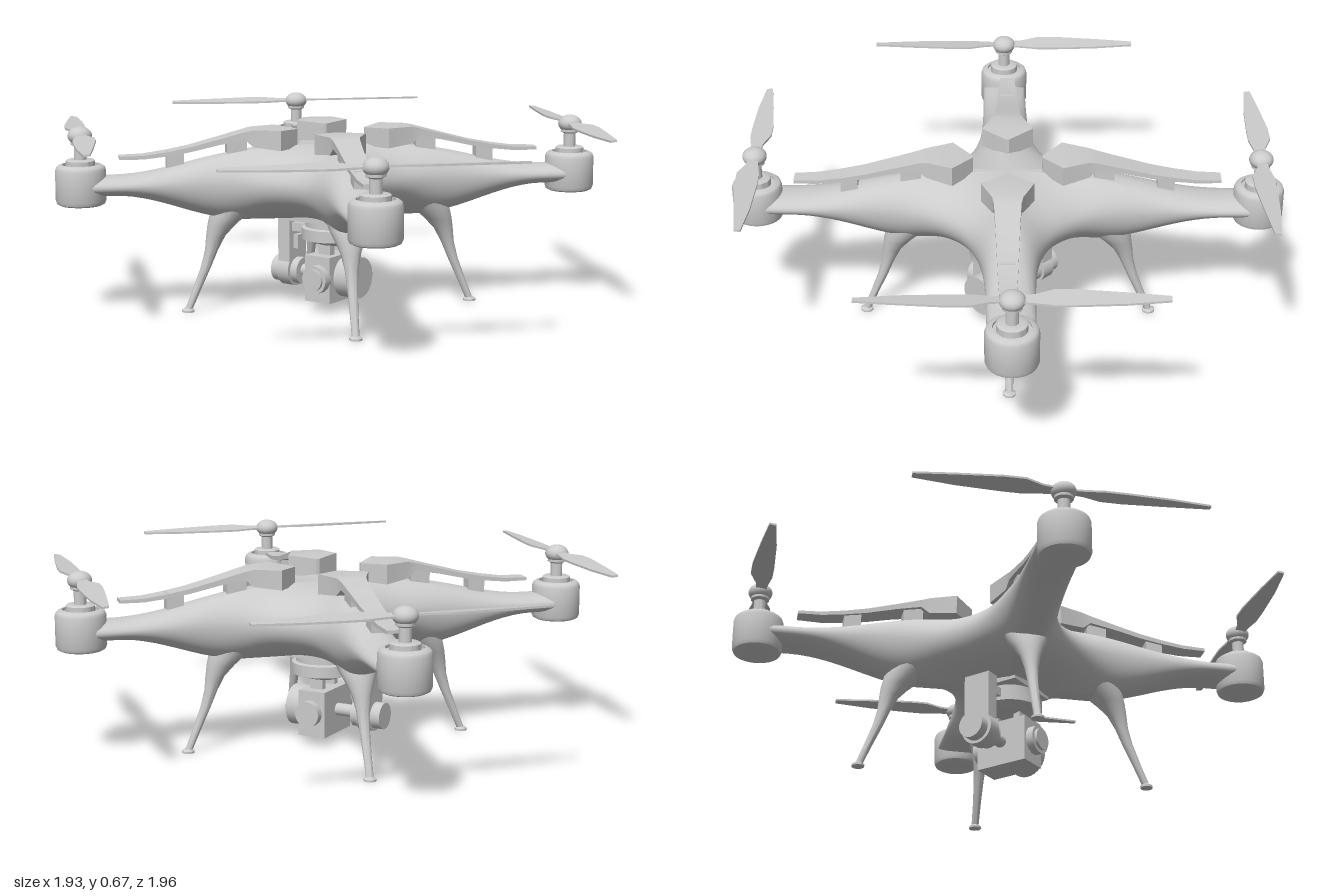
import * as THREE from 'three';
import { toCreasedNormals } from 'three/addons/utils/BufferGeometryUtils.js';

const { smoothstep, lerp } = THREE.MathUtils;
const material = new THREE.MeshStandardMaterial({ color: 0xcccccc, roughness: 0.6 });

function add(parent, name, geometry, x = 0, y = 0, z = 0) {
  const mesh = new THREE.Mesh(geometry, material);
  mesh.name = name;
  mesh.position.set(x, y, z);
  parent.add(mesh);
  return mesh;
}

// Skin a row of closed rings, each a list of [x, y, z]
function loft(rings, capped = true) {
  const n = rings[0].length, index = [], last = (rings.length - 1) * n;
  for (let i = 0; i < rings.length - 1; i++) {
    for (let j = 0; j < n; j++) {
      const k = (j + 1) % n, a = i * n + j, b = i * n + k;
      index.push(a, b, b + n, a, b + n, a + n);
    }
  }
  if (capped) {
    for (let j = 1; j < n - 1; j++) index.push(0, j + 1, j, last, last + j, last + j + 1);
  }
  const g = new THREE.BufferGeometry();
  g.setAttribute('position', new THREE.Float32BufferAttribute(rings.flat(2), 3));
  g.setIndex(index);
  g.computeVertexNormals();
  return g;
}

const lathe = (points, segments = 40) =>
  toCreasedNormals(new THREE.LatheGeometry(points.map(p => new THREE.Vector2(...p)), segments), 0.6);

const box = (w, h, d) => new THREE.BoxGeometry(w, h, d);

// Four-armed shell: star outline, rounded above and below
function shellGeometry() {
  const start = 0.19, end = 0.87;
  const halfWidth = s => 0.078 + 0.112 * Math.exp(-(Math.max(s, start) - start) / 0.112);
  const side = [];
  for (let i = 0; i <= 26; i++) {
    const s = lerp(start, end, i / 26);
    side.push([s, halfWidth(s)]);
  }
  const quarter = side.map(([s, w]) => [s, -w]);
  for (let i = 1; i < 10; i++) quarter.push([end, lerp(-1, 1, i / 10) * halfWidth(end)]);
  quarter.push(...side.slice(1).reverse());

  const rings = [], steps = 52;
  for (let j = 0; j <= steps; j++) {
    const phi = Math.PI * j / steps;
    const k = j === 0 || j === steps ? 0 : Math.sin(phi);
    const ring = [];
    for (let a = 0; a < 4; a++) {
      const c = Math.cos(Math.PI / 4 + a * Math.PI / 2), d = Math.sin(Math.PI / 4 + a * Math.PI / 2);
      for (const [s0, v0] of quarter) {
        const s = s0 * k, v = v0 * k, r = Math.hypot(s, v);
        const across = Math.min(1, Math.abs(v) / halfWidth(s));
        const q = lerp(k, across, smoothstep(s, 0.22, 0.5));
        const round = Math.sqrt(Math.max(0, 1 - Math.pow(q, 2.2)));
        const top = 0.585 - 0.09 * smoothstep(r, 0.2, 0.75);
        const bottom = 0.325 + 0.1 * smoothstep(r, 0.3, 0.75);
        const y = 0.46 + ((phi <= Math.PI / 2 ? top : bottom) - 0.46) * round;
        ring.push([s * c - v * d, y, (s * d + v * c) * 1.03]);
      }
    }
    rings.push(ring);
  }
  return loft(rings, false);
}

// Deck plate along an arm: distance, half width, top, bottom
function deckPlateGeometry() {
  const stations = [
    [0.12, 0.006, 0.64, 0.575], [0.19, 0.09, 0.645, 0.575], [0.28, 0.052, 0.645, 0.585],
    [0.31, 0.046, 0.638, 0.61], [0.4, 0.041, 0.614, 0.594], [0.5, 0.037, 0.588, 0.571],
    [0.58, 0.034, 0.573, 0.558], [0.66, 0.031, 0.562, 0.549], [0.742, 0.027, 0.56, 0.549],
  ];
  return toCreasedNormals(loft(stations.map(([s, w, t, b]) =>
    [[s, t, -w], [s, t, w], [s, b, w], [s, b, -w]])), 0.35);
}

// Thin pitched blade: radius, trailing edge, leading edge
function bladeGeometry() {
  const stations = [
    [0.02, -0.016, 0.016], [0.07, -0.02, 0.022], [0.13, -0.03, 0.045],
    [0.2, -0.03, 0.045], [0.35, -0.024, 0.03], [0.49, -0.009, 0.013],
  ];
  return toCreasedNormals(loft(stations.map(([r, a, b]) => {
    const pitch = z => 0.637 + 0.12 * z, t = 0.0035;
    return [[r, pitch(a) + t, a], [r, pitch(b) + t, b], [r, pitch(b) - t, b], [r, pitch(a) - t, a]];
  })), 0.5);
}

// Tapering leg leaning outwards: height, offset, radius
function legGeometry() {
  const stations = [
    [0.39, 0.235, 0.078], [0.345, 0.255, 0.066], [0.31, 0.272, 0.05], [0.27, 0.287, 0.034],
    [0.22, 0.298, 0.023], [0.16, 0.312, 0.018], [0.08, 0.335, 0.0145], [0.008, 0.356, 0.013],
  ];
  return toCreasedNormals(loft(stations.map(([y, d, r]) => {
    const ring = [];
    for (let i = 0; i < 20; i++) {
      const a = i * Math.PI / 10;
      ring.push([d + r * Math.cos(a), y, d * 1.02 + r * Math.sin(a)]);
    }
    return ring;
  })), 0.8);
}

// Gimbal and camera hung under the shell
function createCamera() {
  const g = new THREE.Group();
  g.name = 'gimbalCamera';
  const barrel = (name, r, from, to, y, z = 0.01) => {
    const m = add(g, name, new THREE.CylinderGeometry(r, r, to - from, 32), (from + to) / 2, y, z);
    m.rotation.z = Math.PI / 2;
  };
  const lens = (name, r, from, to) => {
    const m = add(g, name, new THREE.CylinderGeometry(r, r, to - from, 32), 0.022, 0.12, (from + to) / 2);
    m.rotation.x = Math.PI / 2;
  };
  add(g, 'gimbalMount', lathe([[0, 0.228], [0.05, 0.231], [0.1, 0.248], [0.114, 0.252],
    [0.114, 0.292], [0.1, 0.296], [0.1, 0.315], [0, 0.315]]), 0.02, 0, 0.01);
  add(g, 'mountPlate', box(0.22, 0.02, 0.2), 0.01, 0.325, 0.01);
  // Side arm carrying the camera
  add(g, 'sideArm', box(0.05, 0.2, 0.1), -0.163, 0.22, 0.01);
  barrel('sideArmEnd', 0.06, -0.188, -0.138, 0.12);
  barrel('tiltMotor', 0.047, -0.224, -0.188, 0.117);
  barrel('tiltMotorCap', 0.048, -0.138, -0.11, 0.117);
  barrel('tiltShaft', 0.022, -0.11, -0.03, 0.12);
  add(g, 'upperLink', box(0.06, 0.03, 0.07), -0.115, 0.28, 0.01);
  add(g, 'armBump', box(0.022, 0.05, 0.05), -0.13, 0.225, 0.01);
  for (const z of [-0.035, 0.055]) add(g, 'neckPost', box(0.05, 0.06, 0.025), 0.02, 0.215, z);
  // Camera body with side drum and lenses
  add(g, 'cameraBody', box(0.105, 0.165, 0.195), 0.017, 0.117, 0.01);
  barrel('sideDrum', 0.073, 0.06, 0.136, 0.12);
  lens('lensBarrel', 0.05, 0.1, 0.135);
  lens('lensGlass', 0.038, 0.13, 0.145);
  lens('rearCap', 0.046, -0.115, -0.08);
  return g;
}

export function createModel() {
  const model = new THREE.Group();
  model.name = 'quadcopter';
  add(model, 'shell', shellGeometry());
  model.add(createCamera());

  const pod = lathe([[0, 0.394], [0.072, 0.395], [0.082, 0.4], [0.087, 0.412], [0.087, 0.515],
    [0.083, 0.527], [0.074, 0.534], [0.062, 0.536], [0.062, 0.526], [0.05, 0.526], [0.05, 0.549],
    [0.044, 0.553], [0.021, 0.553], [0.021, 0.6], [0.032, 0.606], [0.032, 0.615], [0, 0.615]]);
  const hub = new THREE.SphereGeometry(0.042, 32, 20);
  hub.scale(1, 0.75, 1);
  const plate = deckPlateGeometry(), blade = bladeGeometry(), leg = legGeometry();
  const foot = lathe([[0, 0], [0.022, 0], [0.022, 0.007], [0.013, 0.014], [0, 0.014]], 20);

  // One corner, mirrored to all four
  for (const sx of [1, -1]) {
    for (const sz of [1, -1]) {
      const corner = new THREE.Group();
      corner.name = (sz > 0 ? 'front' : 'back') + (sx > 0 ? 'Left' : 'Right') + 'Corner';
      corner.scale.set(sx, 1, sz);
      add(corner, 'motorPod', pod, 0.61, 0, 0.628);
      add(corner, 'propellerHub', hub, 0.61, 0.635, 0.628);
      for (const turn of [0, Math.PI]) {
        add(corner, 'propellerBlade', blade, 0.61, 0, 0.628).rotation.y = Math.PI / 4 + turn;
      }
      add(corner, 'leg', leg);
      add(corner, 'foot', foot, 0.357, 0, 0.364);

      const deck = new THREE.Group();
      deck.name = 'deckStrip';
      deck.rotation.y = -Math.PI / 4;
      add(deck, 'deckPlate', plate);
      add(deck, 'innerSupport', box(0.07, 0.08, 0.06), 0.335, 0.575, 0);
      add(deck, 'outerSupport', box(0.06, 0.07, 0.05), 0.55, 0.54, 0);
      corner.add(deck);
      model.add(corner);
    }
  }
  return model;
}
